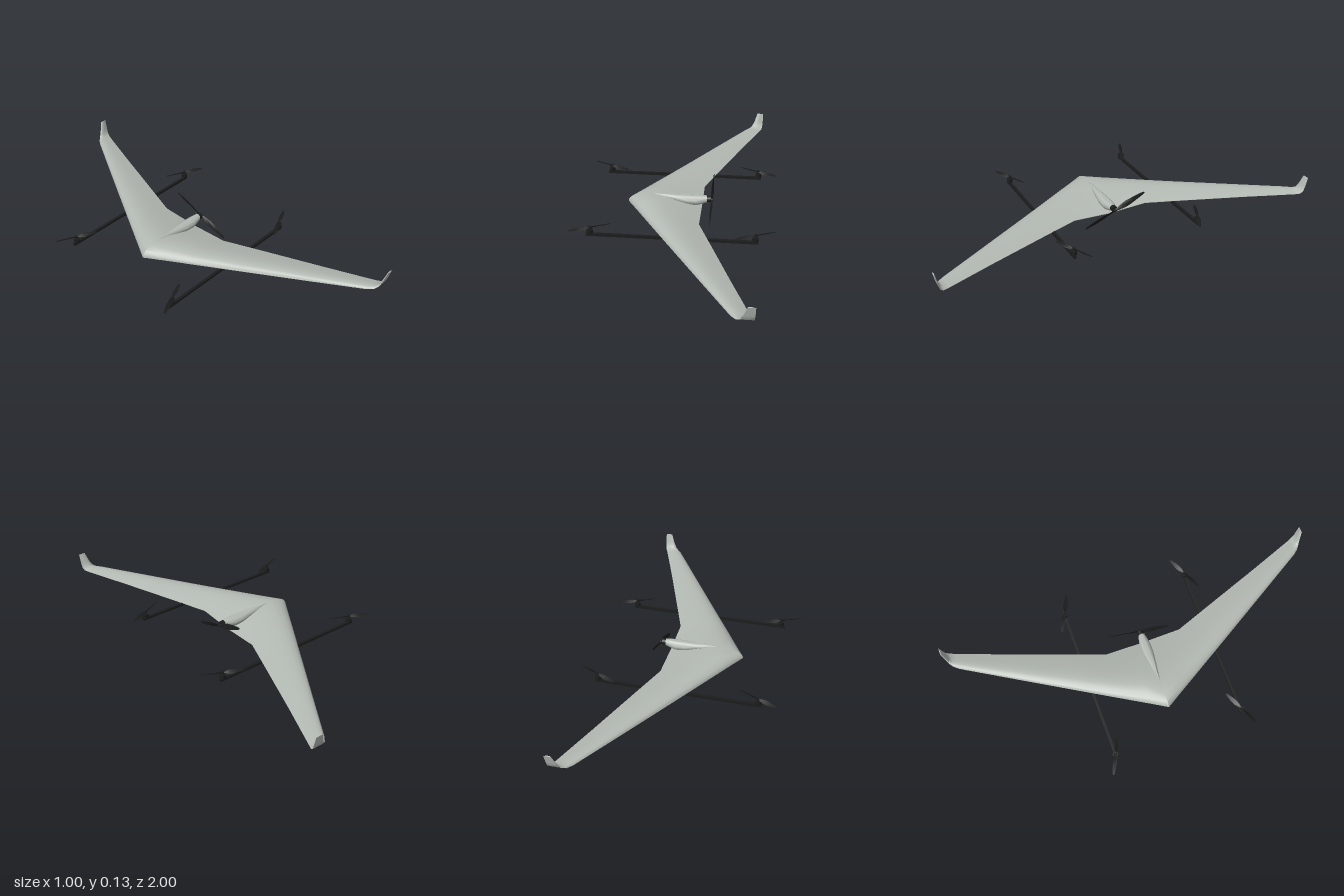
import * as THREE from 'three';
import { toCreasedNormals } from 'three/addons/utils/BufferGeometryUtils.js';

const skin = new THREE.MeshStandardMaterial({ color: 0xb4bab4 });
skin.name = 'pale grey skin';
const black = new THREE.MeshStandardMaterial({ color: 0x1b1c1c });
black.name = 'black carbon';

// Closed skin through equal-length rings, each clockwise seen from the loft's far end
function loft(rings, crease) {
  const n = rings[0].length, last = (rings.length - 1) * n, index = [];
  for (let i = 0; i < rings.length - 1; i++) {
    for (let j = 0; j < n; j++) {
      const a = i * n + j, b = i * n + (j + 1) % n;
      index.push(a, a + n, b, b, a + n, b + n);
    }
  }
  for (let j = 1; j < n - 1; j++) {
    index.push(0, j, j + 1, last, last + j + 1, last + j);
  }
  const geo = new THREE.BufferGeometry();
  geo.setAttribute('position', new THREE.Float32BufferAttribute(rings.flat(2), 3));
  geo.setIndex(index);
  return toCreasedNormals(geo, crease);
}

function add(parent, name, geo, material, x = 0, y = 0, z = 0) {
  const mesh = new THREE.Mesh(geo, material);
  mesh.name = name;
  mesh.position.set(x, y, z);
  parent.add(mesh);
  return mesh;
}

// Flat-bottomed aerofoil: [fraction of chord, fraction of thickness]
const foil = [[0, 0], [0.003, 0.15], [0.018, 0.36], [0.06, 0.63], [0.15, 0.9], [0.28, 1],
  [0.42, 0.95], [0.6, 0.74], [0.8, 0.41], [1, 0.06], [1, 0]];

// Half wing: [z, leading x, trailing x, leading y, trailing y, thickness, lean]
const stations = [
  [0, -0.26, 0.12, 0.04, 0.026, 0.053, 0],
  [0.08, -0.211, 0.12, 0.04, 0.030, 0.046, 0],
  [0.2, -0.139, 0.12, 0.04, 0.035, 0.036, 0],
  [0.4, -0.018, 0.194, 0.039, 0.037, 0.027, 0],
  [0.7, 0.164, 0.305, 0.038, 0.038, 0.019, 0],
  [0.94, 0.31, 0.397, 0.038, 0.038, 0.012, 0],
  [0.965, 0.331, 0.408, 0.041, 0.041, 0.009, 0.4],
  [0.98, 0.35, 0.412, 0.053, 0.053, 0.008, 1.0],
  [0.988, 0.364, 0.414, 0.08, 0.08, 0.007, 1.3],
  [1.0, 0.38, 0.415, 0.128, 0.128, 0.005, 1.3],
];

function wingRing([z, le, te, yl, yt, t, lean], side) {
  return foil.map(([c, h]) => [
    le + (te - le) * c,
    yl + (yt - yl) * c + h * t * Math.cos(lean),
    side * (z - h * t * Math.sin(lean)),
  ]);
}

// Spine fairing: [x, centre y, half height, half width]
const fairing = [[-0.13, 0.088, 0.001, 0.001], [-0.08, 0.081, 0.01, 0.009],
  [-0.02, 0.073, 0.018, 0.019], [0.04, 0.065, 0.026, 0.027], [0.09, 0.064, 0.027, 0.028],
  [0.12, 0.068, 0.023, 0.023], [0.145, 0.072, 0.018, 0.017]];

// Ellipse across x, tilted by pitch
function ellipse(x, y, h, w, count, pitch = 0) {
  return Array.from({ length: count }, (_, k) => {
    const a = (k / count) * Math.PI * 2;
    const u = Math.cos(a) * h, v = -Math.sin(a) * w;
    return [x, y + u * Math.cos(pitch) + v * Math.sin(pitch), v * Math.cos(pitch) - u * Math.sin(pitch)];
  });
}

// Two-bladed propeller turning about its y axis: [radius, chord, pitch]
function propeller(name, radius, chord, spin) {
  const group = new THREE.Group();
  group.name = name;
  const plan = [[0.03, 0.35, 0.6], [0.2, 0.7, 0.6], [0.38, 1, 0.45], [0.65, 0.8, 0.3],
    [0.9, 0.5, 0.2], [1, 0.2, 0.15]];
  const blade = loft(plan.map(([r, c, p]) =>
    ellipse(r * radius, 0, 0.0025 * (1.2 - r), c * chord / 2, 8, p * spin)), 0.9);
  for (let k = 0; k < 2; k++) add(group, 'blade', blade, black).rotation.y = k * Math.PI;
  add(group, 'hub', new THREE.CylinderGeometry(0.006, 0.008, 0.014, 16), black);
  return group;
}

export function createModel() {
  const model = new THREE.Group();
  model.name = 'flyingWing';

  // Swept wing with upturned tips
  const rings = [
    ...stations.slice(1).reverse().map((s) => wingRing(s, -1)),
    ...stations.map((s) => wingRing(s, 1)),
  ];
  add(model, 'wing', loft(rings, 0.7), skin);
  add(model, 'spineFairing',
    loft(fairing.map(([x, y, h, w]) => ellipse(x, y, h, w, 24)), 0.8), skin);

  // Pusher motor and propeller
  const motor = add(model, 'rearMotor', new THREE.CylinderGeometry(0.016, 0.016, 0.024, 24),
    black, 0.153, 0.072, 0);
  motor.rotation.z = Math.PI / 2;
  const pusher = propeller('rearPropeller', 0.177, 0.03, 1);
  pusher.position.set(0.17, 0.068, 0);
  pusher.rotation.set(0, 1.94, -Math.PI / 2, 'ZYX');
  model.add(pusher);

  // Lift booms with a motor and propeller at each end
  for (const side of [-1, 1]) {
    const z = side * 0.336;
    add(model, 'boom', new THREE.BoxGeometry(0.835, 0.013, 0.014), black, -0.002, 0.0315, z);
    for (const x of [-0.4, 0.4]) {
      add(model, 'liftMotor', new THREE.CylinderGeometry(0.015, 0.015, 0.018, 20), black, x, 0.05, z);
      add(model, 'motorFoot', new THREE.CylinderGeometry(0.01, 0.01, 0.006, 16), black, x, 0.039, z);
      add(model, 'shaft', new THREE.CylinderGeometry(0.004, 0.004, 0.014, 12), black, x, 0.063, z);
      const rotor = propeller('liftPropeller', 0.108, 0.024, side);
      rotor.position.set(x, 0.07, z);
      rotor.rotation.y = side * 0.43;
      model.add(rotor);
    }
  }
  return model;
}
